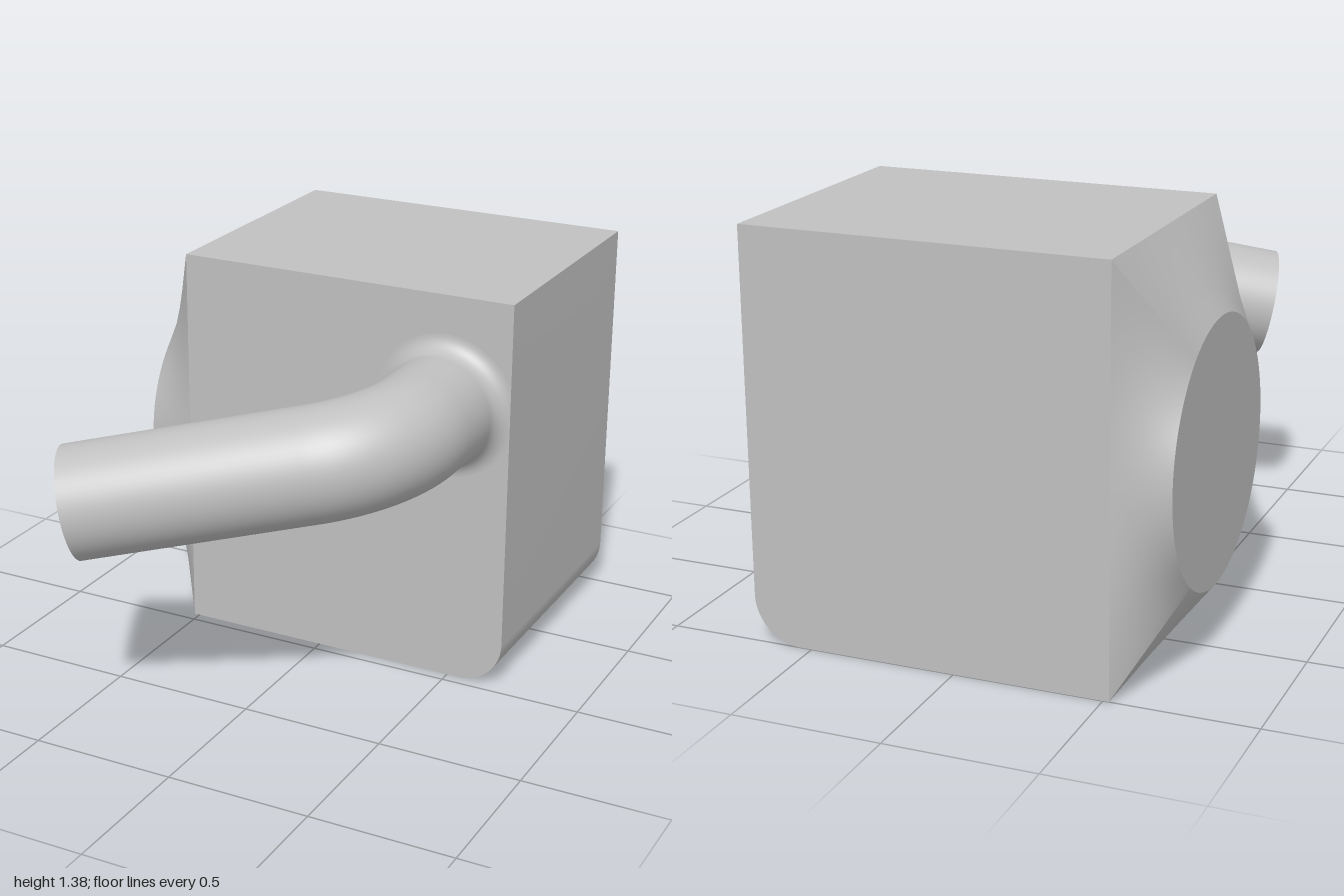
import * as THREE from 'three';
import { toCreasedNormals } from 'three/addons/utils/BufferGeometryUtils.js';

const LEFT = -0.52, RIGHT = 0.7, TOP = 1.38, BACK = -1, FRONT = -0.04;

export function createModel() {
  const model = new THREE.Group();
  const grey = new THREE.MeshStandardMaterial({ color: 0xc0c0c0 });
  grey.name = 'plain grey';
  const add = (name, geometry) => {
    const mesh = new THREE.Mesh(geometry, grey);
    mesh.name = name;
    model.add(mesh);
    return mesh;
  };

  // Block with one rounded lower edge
  const r = 0.16;
  const outline = new THREE.Shape();
  outline.moveTo(LEFT, 0);
  outline.lineTo(RIGHT - r, 0);
  outline.absarc(RIGHT - r, r, r, -Math.PI / 2, 0, false);
  outline.lineTo(RIGHT, TOP);
  outline.lineTo(LEFT, TOP);
  const block = new THREE.ExtrudeGeometry(outline, { depth: FRONT - BACK, bevelEnabled: false, curveSegments: 20 });
  block.translate(0, 0, BACK);
  add('block', toCreasedNormals(block, Math.PI / 6));

  // Transition from the rectangular side to a round face
  const cy = 0.67, cz = -0.52, faceX = -0.7, faceR = 0.44;
  const corners = [[FRONT, 0], [FRONT, TOP], [BACK, TOP], [BACK, 0]];
  const steps = 24, rows = 6;
  corners.forEach((a, side) => {
    const b = corners[(side + 1) % 4];
    const start = Math.atan2(a[1] - cy, a[0] - cz);
    let sweep = Math.atan2(b[1] - cy, b[0] - cz) - start;
    if (sweep < 0) sweep += Math.PI * 2;
    const positions = [], index = [];
    for (let i = 0; i <= steps; i++) {
      const angle = start + sweep * i / steps;
      const c = Math.cos(angle), s = Math.sin(angle);
      // distance along this ray to the rectangle's side
      const d = side % 2 === 0 ? (a[0] - cz) / c : (a[1] - cy) / s;
      for (let j = 0; j <= rows; j++) {
        const t = j / rows;
        const radius = THREE.MathUtils.lerp(d, faceR, t);
        positions.push(THREE.MathUtils.lerp(LEFT, faceX, t), cy + s * radius, cz + c * radius);
        if (i < steps && j < rows) {
          const p = i * (rows + 1) + j, q = p + rows + 1;
          index.push(p, q, p + 1, q, q + 1, p + 1);
        }
      }
    }
    const g = new THREE.BufferGeometry();
    g.setAttribute('position', new THREE.Float32BufferAttribute(positions, 3));
    g.setIndex(index);
    g.computeVertexNormals();
    add('transitionSide' + (side + 1), g);
  });
  const face = add('roundFace', new THREE.CircleGeometry(faceR, 96));
  face.rotation.y = -Math.PI / 2;
  face.position.set(faceX, cy, cz);

  // Bent rod: straight, arc, straight
  const rodR = 0.19;
  const base = new THREE.Vector3(0.467, 0.995, FRONT);
  const elbow = new THREE.Vector3(0.467, 0.995, 0.43);
  const end = new THREE.Vector3(-0.445, 0.795, 0.82);
  const out = new THREE.Vector3(0, 0, 1);
  const dir = end.clone().sub(elbow).normalize();
  const tangent = 0.23, turn = out.angleTo(dir);
  const handle = 4 / 3 * Math.tan(turn / 4) * tangent / Math.tan(turn / 2);
  const bendStart = elbow.clone().addScaledVector(out, -tangent);
  const bendEnd = elbow.clone().addScaledVector(dir, tangent);
  const path = new THREE.CurvePath();
  path.add(new THREE.LineCurve3(base, bendStart));
  path.add(new THREE.CubicBezierCurve3(
    bendStart,
    bendStart.clone().addScaledVector(out, handle),
    bendEnd.clone().addScaledVector(dir, -handle),
    bendEnd));
  path.add(new THREE.LineCurve3(bendEnd, end));
  add('rod', new THREE.TubeGeometry(path, 96, rodR, 64, false));
  const cap = add('rodEnd', new THREE.CircleGeometry(rodR, 64));
  cap.quaternion.setFromUnitVectors(out, dir);
  cap.position.copy(end);

  // Fillet where the rod meets the block, trimmed at the block's edge
  const filletR = 0.06, profile = [];
  for (let i = 0; i <= 10; i++) {
    const t = i / 10 * Math.PI / 2;
    profile.push(new THREE.Vector2(rodR + filletR * (1 - Math.sin(t)), filletR * (1 - Math.cos(t))));
  }
  const fillet = new THREE.LatheGeometry(profile, 64);
  fillet.rotateX(Math.PI / 2);
  fillet.translate(base.x, base.y, base.z);
  const pos = fillet.attributes.position;
  for (let i = 0; i < pos.count; i++) pos.setX(i, Math.min(pos.getX(i), RIGHT));
  add('rodFillet', fillet);

  return model;
}
